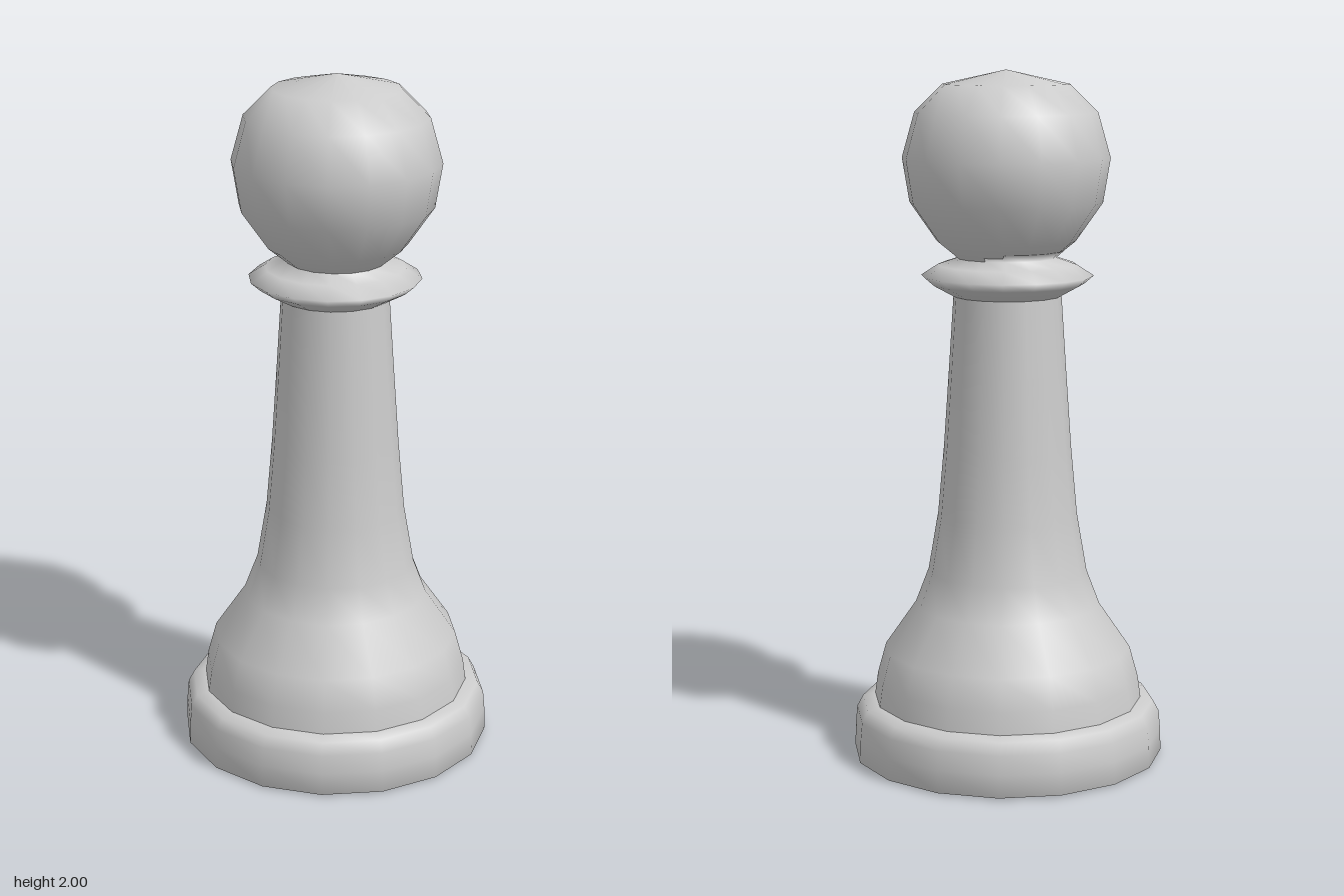
import * as THREE from 'three';

const SIDES = 16;

// Smooth sixteen-sided turning from [radius, height] points, listed bottom to top
function turned(name, points) {
  const profile = points.map(([r, y]) => new THREE.Vector2(r, y));
  const material = new THREE.MeshStandardMaterial({ color: 0xcccccc, side: THREE.DoubleSide });
  const mesh = new THREE.Mesh(new THREE.LatheGeometry(profile, SIDES), material);
  mesh.name = name;
  return mesh;
}

export function createModel() {
  const pawn = new THREE.Group();
  pawn.name = 'pawn';

  // Round foot with a closed underside and softened upper rim
  const base = turned('base', [
    [0, 0], [0.43, 0], [0.455, 0.005], [0.453, 0.07], [0.448, 0.125], [0.43, 0.158], [0.39, 0.168], [0.36, 0.168],
  ]);

  // Bell-shaped skirt sweeping into the tapered stem
  const stem = turned('stem', [
    [0.396, 0.15], [0.385, 0.23], [0.36, 0.32], [0.27, 0.45], [0.232, 0.55],
    [0.203, 0.72], [0.185, 0.92], [0.17, 1.14], [0.155, 1.37],
  ]);

  // Thin flared collar
  const collar = turned('collar', [
    [0.14, 1.352], [0.16, 1.36], [0.22, 1.393], [0.248, 1.417], [0.2, 1.448], [0.14, 1.468], [0.165, 1.49],
  ]);

  // Ball head, a hair off the axis
  const head = turned('head', [
    [0.14, 1.466], [0.2, 1.515], [0.277, 1.625], [0.298, 1.752], [0.262, 1.88], [0.182, 1.96], [0, 2],
  ]);
  head.position.x = 0.006;

  pawn.add(base, stem, collar, head);
  return pawn;
}
